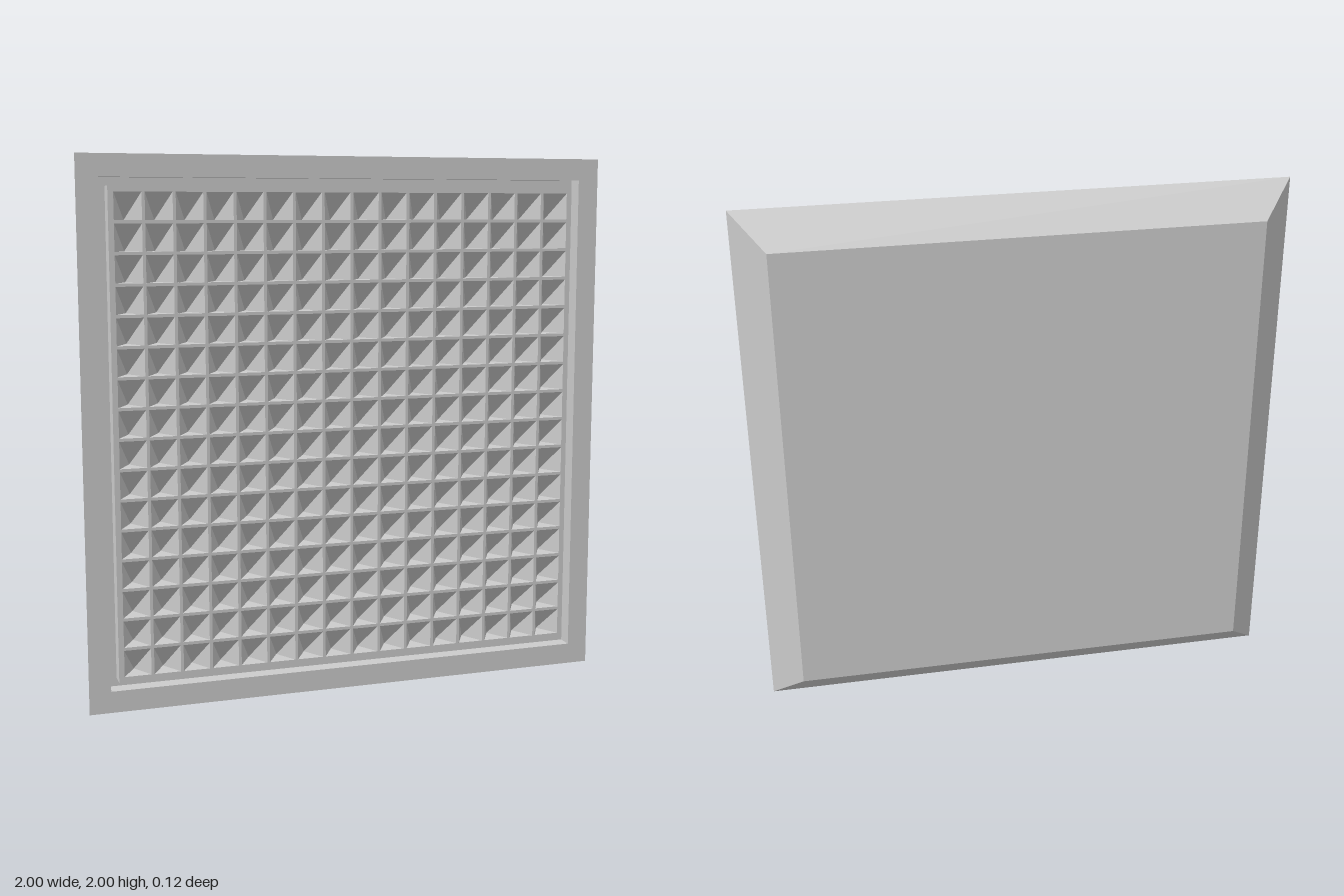
import * as THREE from 'three';

const FRONT = 0.06, BACK = -0.06, CENTRE = 1;
const FRAME_IN = 0.92, BLOCK = 0.89, GROOVE_Z = 0;
const CELLS = 16, FIELD = 0.87, WALL = 0.011, POCKET = 0.09;

const material = new THREE.MeshStandardMaterial({ color: 0xcccccc, flatShading: true });

function fromTriangles(points) {
  const g = new THREE.BufferGeometry();
  g.setAttribute('position', new THREE.Float32BufferAttribute(points, 3));
  g.computeVertexNormals();
  return g;
}

// Joins concentric square rings, each given as [half width, z]
function squareLoft(profile) {
  const corners = [[-1, -1], [1, -1], [1, 1], [-1, 1]];
  const points = [];
  const at = ([half, z], k) => [corners[k % 4][0] * half, corners[k % 4][1] * half, z];
  for (let i = 0; i < profile.length - 1; i++) {
    for (let k = 0; k < 4; k++) {
      const a = at(profile[i], k), b = at(profile[i], k + 1);
      const c = at(profile[i + 1], k + 1), d = at(profile[i + 1], k);
      if (profile[i][0] > 0) points.push(...a, ...b, ...c);
      points.push(...a, ...c, ...d);
    }
  }
  return fromTriangles(points);
}

// Lower left corner of every cell in the grid
function cellCorners() {
  const pitch = (2 * FIELD + WALL) / CELLS;
  const list = [];
  for (let r = 0; r < CELLS; r++)
    for (let c = 0; c < CELLS; c++) list.push([-FIELD + c * pitch, -FIELD + r * pitch]);
  return { list, size: pitch - WALL };
}

function square(x, y, size, Type) {
  return new Type([
    new THREE.Vector2(x, y), new THREE.Vector2(x + size, y),
    new THREE.Vector2(x + size, y + size), new THREE.Vector2(x, y + size),
  ]);
}

export function createModel() {
  const group = new THREE.Group();
  group.name = 'gridPanel';
  const { list, size } = cellCorners();

  const add = (name, geometry) => {
    const mesh = new THREE.Mesh(geometry, material);
    mesh.name = name;
    mesh.position.y = CENTRE;
    group.add(mesh);
  };

  // Bevelled housing, front frame and the groove around the grid
  add('housing', squareLoft([
    [0, BACK], [0.88, BACK], [1, FRONT], [FRAME_IN, FRONT],
    [FRAME_IN, GROOVE_Z], [BLOCK, GROOVE_Z], [BLOCK, FRONT],
  ]));

  // Thin dividers between the cells
  const face = square(-BLOCK, -BLOCK, 2 * BLOCK, THREE.Shape);
  for (const [x, y] of list) face.holes.push(square(x, y, size, THREE.Path));
  const dividers = new THREE.ShapeGeometry(face);
  dividers.translate(0, 0, FRONT);
  add('gridDividers', dividers);

  // Pockets: three sloping facets meet a flat sill at a deep point
  const points = [];
  for (const [x, y] of list) {
    const bl = [x, y, FRONT], br = [x + size, y, FRONT];
    const tl = [x, y + size, FRONT], tr = [x + size, y + size, FRONT];
    const deep = [x + size / 2, y, FRONT - POCKET];
    points.push(...tl, ...deep, ...tr, ...tl, ...bl, ...deep);
    points.push(...deep, ...br, ...tr, ...bl, ...br, ...deep);
  }
  add('cellPockets', fromTriangles(points));

  return group;
}
